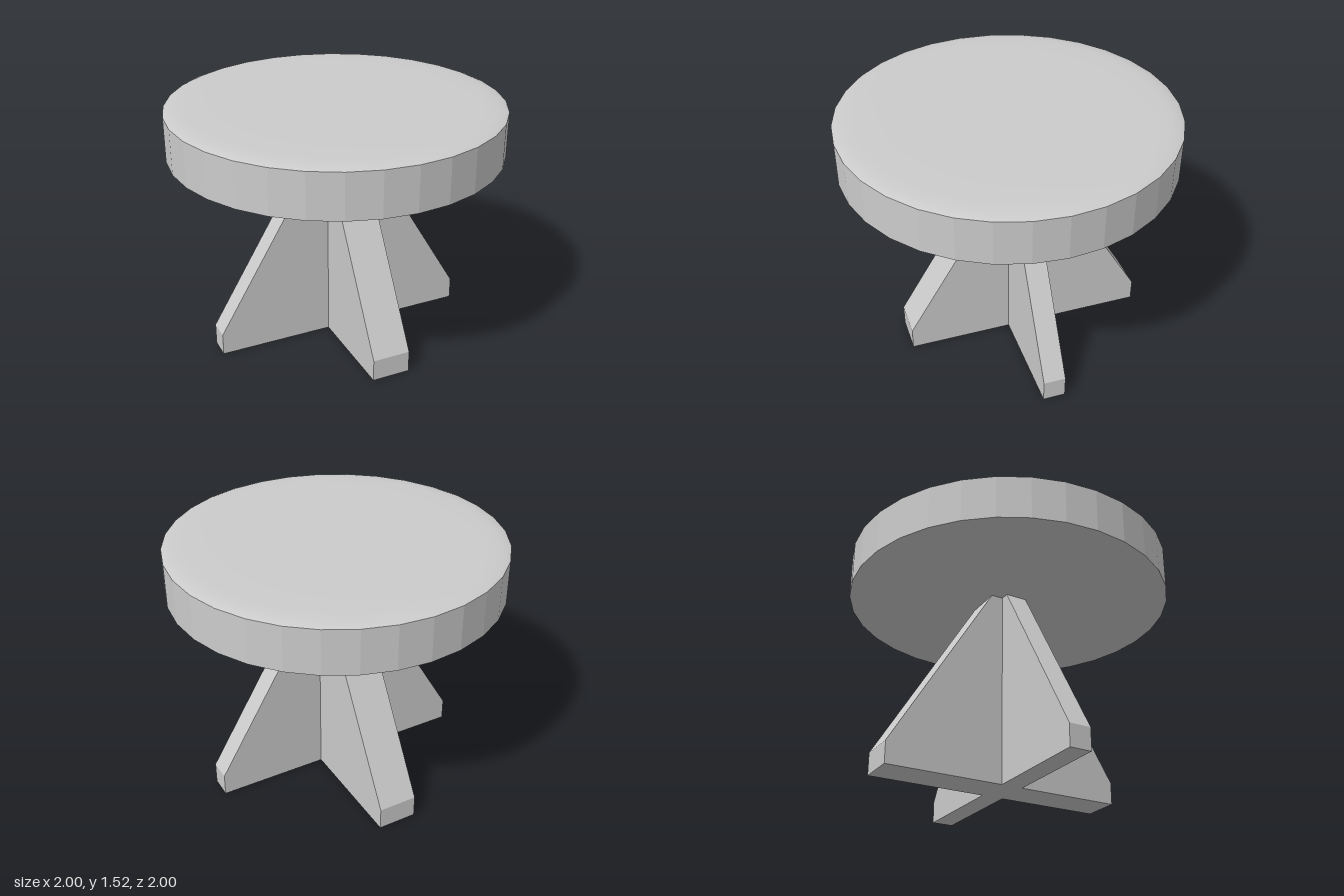
import * as THREE from 'three';

const grey = () => new THREE.MeshStandardMaterial({ color: 0xcccccc });

// Upright board: trapezoid outline with short vertical feet, from a0 to a1, t0 to t1 thick
function board(name, a0, a1, top0, top1, t0, t1) {
  const shape = new THREE.Shape([
    [a0, 0], [a1, 0], [a1, 0.135], [top1, 1.222], [top0, 1.222], [a0, 0.135],
  ].map(([x, y]) => new THREE.Vector2(x, y)));
  const geometry = new THREE.ExtrudeGeometry(shape, { depth: t1 - t0, bevelEnabled: false });
  geometry.translate(0, 0, t0);
  const mesh = new THREE.Mesh(geometry, grey());
  mesh.name = name;
  return mesh;
}

export function createModel() {
  const model = new THREE.Group();
  model.name = 'roundTable';

  // Two boards crossing at right angles form the base
  const wide = board('baseBoardSideways', -0.785, 0.83, -0.13, 0.17, -0.085, 0.05);
  const deep = board('baseBoardLengthways', -0.685, 0.813, -0.026, 0.16, -0.075, 0.16);
  deep.rotation.y = Math.PI / 2; // outline x runs towards -z
  model.add(wide, deep);

  // Table top: faceted rim, flat underside, softly rounded upper face
  const top = new THREE.Group();
  top.name = 'tableTop';
  const rimMaterial = grey();
  rimMaterial.flatShading = true;
  const rim = new THREE.Mesh(new THREE.CylinderGeometry(1, 1, 0.27, 32, 1, true), rimMaterial);
  rim.name = 'tableRim';
  rim.position.y = 1.357;
  const underside = new THREE.Mesh(new THREE.CircleGeometry(1, 32), grey());
  underside.name = 'tableUnderside';
  underside.rotation.x = Math.PI / 2;
  underside.position.y = 1.222;
  const profile = [[1, 1.492], [0.975, 1.501], [0.93, 1.508], [0.86, 1.512], [0.65, 1.515], [0, 1.516]]
    .map(([r, y]) => new THREE.Vector2(r, y));
  const face = new THREE.Mesh(new THREE.LatheGeometry(profile, 32), grey());
  face.name = 'tableUpperFace';
  top.add(rim, underside, face);
  model.add(top);
  return model;
}
